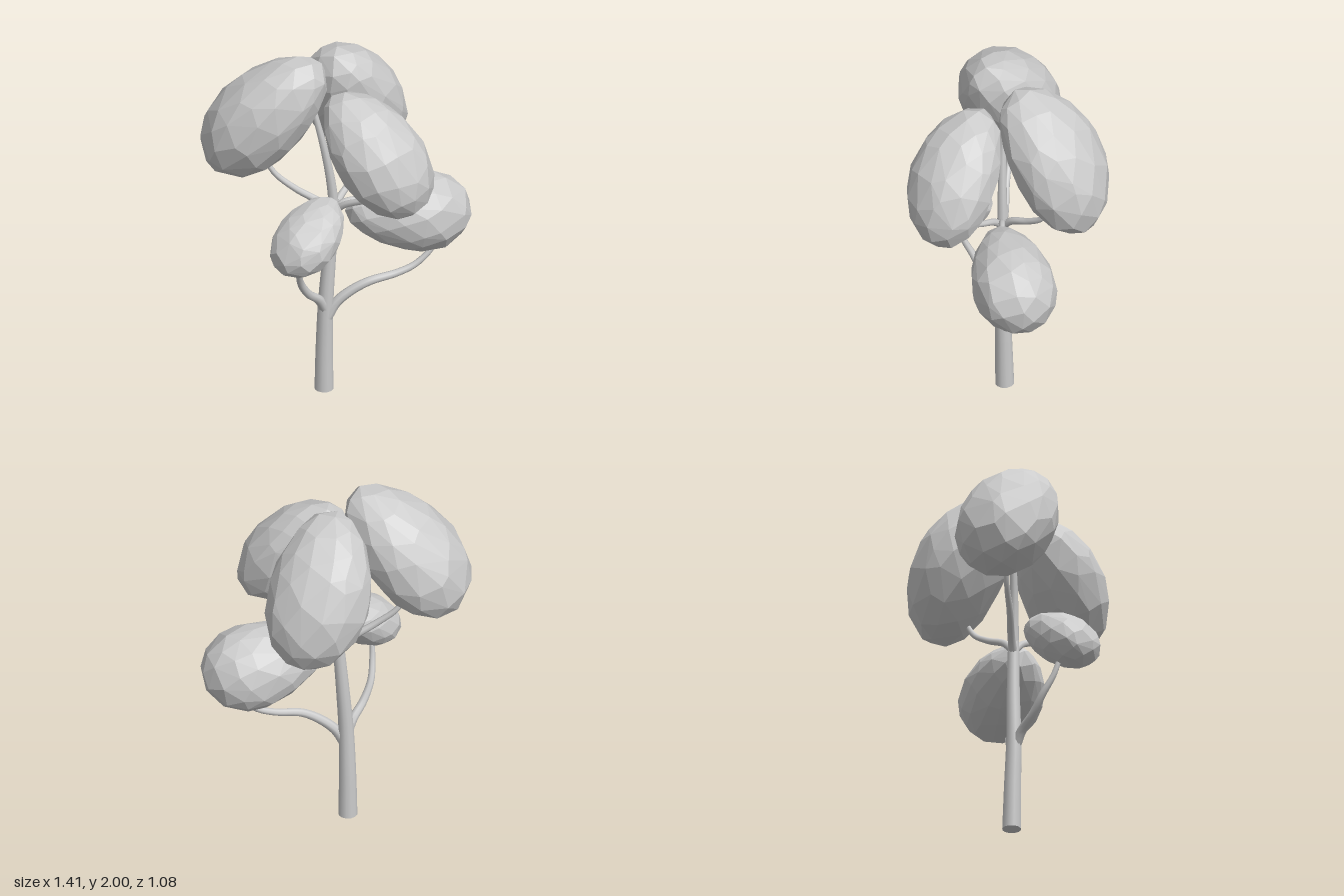
import * as THREE from 'three';
import { ConvexGeometry } from 'three/addons/geometries/ConvexGeometry.js';

const V = (p) => new THREE.Vector3(...p);
const barkMat = new THREE.MeshStandardMaterial({ color: 0xcccccc });
const leafMat = new THREE.MeshStandardMaterial({ color: 0xcccccc, flatShading: true });

function seeded(seed) {
  let s = seed;
  return () => ((s = (s * 16807) % 2147483647) / 2147483647);
}

// Tube along a smooth path whose radius runs from r0 to r1
function limb(name, points, r0, r1, sides = 8) {
  const curve = new THREE.CatmullRomCurve3(points.map(V));
  const steps = points.length * 4;
  const geo = new THREE.TubeGeometry(curve, steps, 1, sides);
  const pos = geo.attributes.position;
  const p = new THREE.Vector3();
  for (let i = 0; i < pos.count; i++) {
    const t = Math.floor(i / (sides + 1)) / steps;
    const c = curve.getPointAt(t);
    p.fromBufferAttribute(pos, i).sub(c).multiplyScalar(r0 + (r1 - r0) * t).add(c);
    pos.setXYZ(i, p.x, p.y, p.z);
  }
  const mesh = new THREE.Mesh(geo, barkMat);
  mesh.name = name;
  return mesh;
}

// Faceted egg-shaped clump filling a box; lean = [xy, xz, yz] skew,
// tip = direction of the narrow end, taper = how narrow it gets
function clump({ name, min, max, lean: [xy, xz, yz], tip, taper }, seed) {
  const rand = seeded(seed * 7919 + 13);
  const lo = V(min), hi = V(max);
  const half = hi.clone().sub(lo).multiplyScalar(0.5);
  const axis = V(tip).normalize();
  const l22 = Math.sqrt(1 - xy * xy);
  const l32 = (yz - xy * xz) / l22;
  const l33 = Math.sqrt(Math.max(0.05, 1 - xz * xz - l32 * l32));
  const n = 84;
  const pts = [];
  for (let i = 0; i < n; i++) {
    const y = 1 - (2 * (i + 0.5)) / n;
    const a = i * 2.39996 + (rand() - 0.5) * 0.35;
    const r = Math.sqrt(1 - y * y);
    const u = new THREE.Vector3(r * Math.cos(a), y, r * Math.sin(a));
    u.y += (rand() - 0.5) * 0.12;
    u.normalize();
    // pinch toward the tip
    const t = u.dot(axis);
    const along = axis.clone().multiplyScalar(t);
    u.sub(along).multiplyScalar(1 - taper * t).add(along);
    // skew the sphere into a leaning ellipsoid
    pts.push(new THREE.Vector3(
      u.x,
      xy * u.x + l22 * u.y,
      xz * u.x + l32 * u.y + l33 * u.z
    ).multiply(half));
  }
  // fit the points to the box
  const box = new THREE.Box3().setFromPoints(pts);
  const scale = hi.clone().sub(lo).divide(box.getSize(new THREE.Vector3()));
  pts.forEach((p) => p.sub(box.min).multiply(scale).add(lo));
  const mesh = new THREE.Mesh(new ConvexGeometry(pts), leafMat);
  mesh.name = name;
  return mesh;
}

export function createModel() {
  const tree = new THREE.Group();
  tree.name = 'tree';

  // Trunk with its cut base
  const trunk = new THREE.Group();
  trunk.name = 'trunk';
  trunk.add(
    limb('lowerTrunk', [[-0.085, 0, -0.035], [-0.085, 0.25, -0.03], [-0.08, 0.52, -0.022], [-0.06, 0.8, -0.02], [-0.035, 1.12, -0.012]], 0.051, 0.03, 12),
    limb('upperTrunk', [[-0.036, 1.08, -0.012], [-0.055, 1.25, -0.015], [-0.09, 1.45, -0.025], [-0.14, 1.68, -0.05]], 0.029, 0.015)
  );
  const base = new THREE.Mesh(new THREE.CircleGeometry(0.051, 12), barkMat);
  base.name = 'trunkBase';
  base.rotation.x = Math.PI / 2;
  base.position.set(-0.085, 0.001, -0.035);
  trunk.add(base);
  tree.add(trunk);

  // Branches
  const branches = new THREE.Group();
  branches.name = 'branches';
  branches.add(
    limb('lowerLeftBranch', [[-0.075, 0.44, -0.01], [-0.03, 0.52, 0], [0.04, 0.585, 0.02], [0.14, 0.64, 0.045], [0.29, 0.67, 0.06], [0.39, 0.71, 0.07], [0.48, 0.8, 0.08], [0.5, 0.88, 0.08]], 0.03, 0.013),
    limb('lowerRightBranch', [[-0.085, 0.48, -0.015], [-0.13, 0.56, 0.01], [-0.2, 0.625, 0.05], [-0.26, 0.72, 0.09], [-0.29, 0.83, 0.145], [-0.3, 0.95, 0.18]], 0.028, 0.013),
    limb('upperRightBranch', [[-0.045, 1.04, -0.015], [-0.1, 1.11, -0.04], [-0.23, 1.2, -0.08], [-0.33, 1.29, -0.12], [-0.4, 1.42, -0.14]], 0.023, 0.012),
    limb('frontBranch', [[-0.04, 1.06, -0.01], [0.0, 1.12, 0.04], [0.08, 1.18, 0.14], [0.13, 1.23, 0.22], [0.15, 1.34, 0.27]], 0.021, 0.011),
    limb('backBranch', [[-0.04, 1.06, -0.015], [0.01, 1.12, -0.05], [0.1, 1.17, -0.12], [0.17, 1.23, -0.18], [0.2, 1.36, -0.24]], 0.022, 0.012),
    limb('middleLeftBranch', [[-0.045, 1.04, -0.01], [0.0, 1.11, 0], [0.09, 1.13, 0.02], [0.2, 1.1, 0.04]], 0.02, 0.012)
  );
  tree.add(branches);

  // Foliage clumps
  const foliage = new THREE.Group();
  foliage.name = 'foliage';
  [
    { name: 'topRightClump', min: [-0.71, 1.29, -0.42], max: [-0.08, 2.0, 0.15], lean: [0.45, 0.2, 0.35], tip: [0.8, 0.5, 0.3], taper: 0.18 },
    { name: 'backClump', min: [-0.12, 1.21, -0.54], max: [0.45, 1.97, 0.03], lean: [-0.38, -0.08, 0.38], tip: [-0.5, 0.6, 0.6], taper: 0.15 },
    { name: 'frontClump', min: [-0.17, 1.19, 0.01], max: [0.39, 1.84, 0.54], lean: [-0.38, 0.2, -0.42], tip: [-0.5, 0.5, -0.6], taper: 0.15 },
    { name: 'lowerLeftClump', min: [0.02, 0.78, -0.18], max: [0.7, 1.23, 0.26], lean: [-0.15, 0.05, 0.05], tip: [-1, 0.1, 0], taper: 0.27 },
    { name: 'lowerRightClump', min: [-0.47, 0.87, 0.01], max: [-0.05, 1.22, 0.39], lean: [0.45, -0.2, -0.3], tip: [0.8, 0.3, -0.4], taper: 0.15 },
  ].forEach((c, i) => foliage.add(clump(c, i + 1)));
  tree.add(foliage);

  return tree;
}
